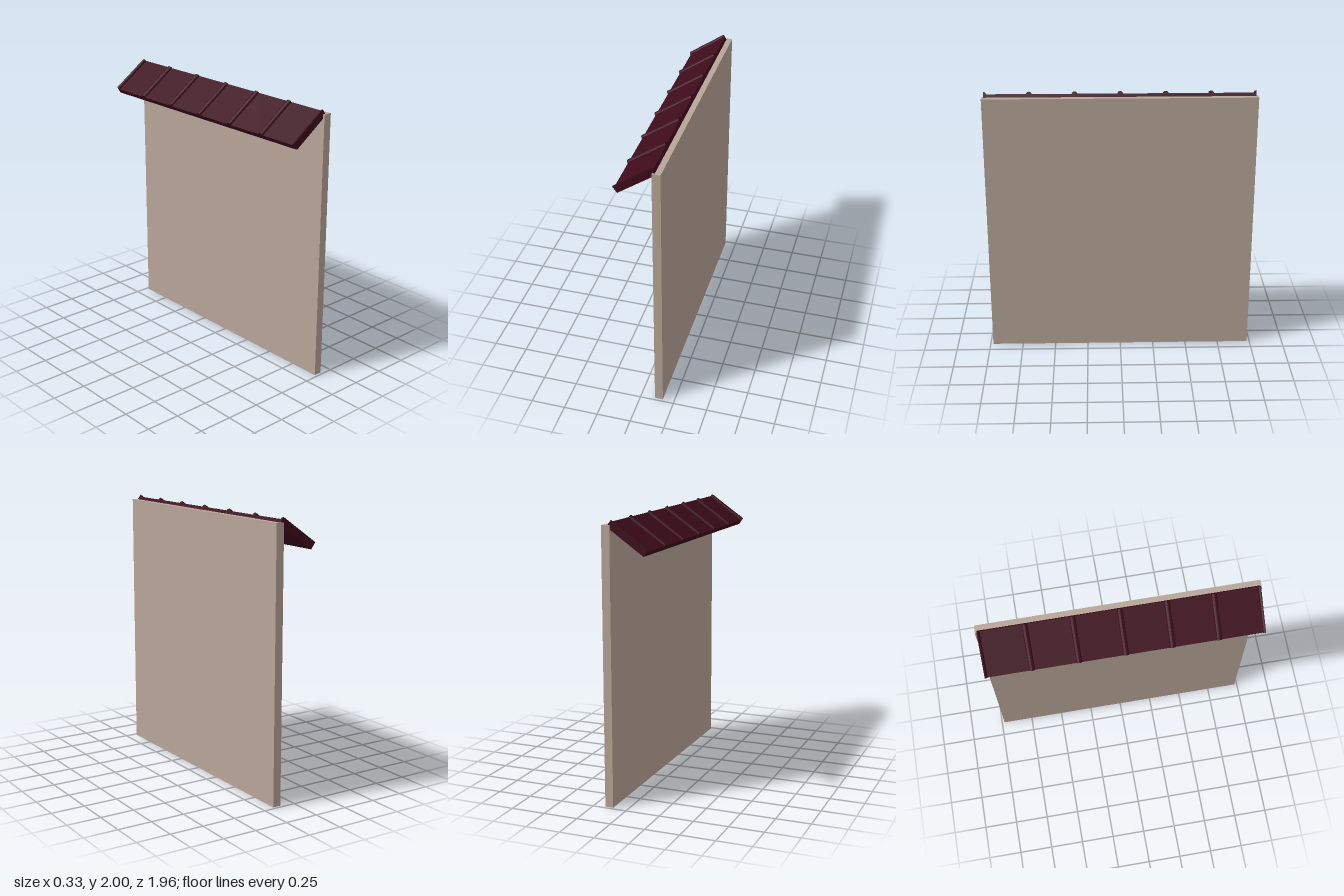
import * as THREE from 'three';

const HALF = 0.967;        // half the canopy width along z
const THICK = 0.0395;      // sheet thickness
const RIB_W = 0.02;        // half width of a rib
const RIB_H = 0.0175;      // rib height
const SLOPE = THREE.MathUtils.degToRad(34.8);
const LENGTH = 0.323;      // along the slope

// Sheet cross-section with evenly spaced rounded ribs; the outer two are halved
function canopyShape() {
  const shape = new THREE.Shape();
  const ribs = 7, steps = 8;
  shape.moveTo(-HALF, 0);
  shape.lineTo(HALF, 0);
  for (let i = ribs - 1; i >= 0; i--) {
    const c = -HALF + (2 * HALF * i) / (ribs - 1);
    const first = i === ribs - 1 ? steps / 2 : 0;
    const last = i === 0 ? steps / 2 : steps;
    for (let k = first; k <= last; k++) {
      const a = (Math.PI * k) / steps;
      shape.lineTo(c + RIB_W * Math.cos(a), THICK + RIB_H * Math.sin(a));
    }
  }
  shape.closePath();
  return shape;
}

export function createModel() {
  const model = new THREE.Group();

  // Upright wall panel
  const wall = new THREE.Mesh(
    new THREE.BoxGeometry(0.06, 1.965, 1.96),
    new THREE.MeshStandardMaterial({ color: 0xb8a598 })
  );
  wall.name = 'wall';
  wall.position.set(0.135, 1.965 / 2, 0);
  model.add(wall);

  // Sloping ribbed canopy, extruded up the slope towards the wall top
  const geometry = new THREE.ExtrudeGeometry(canopyShape(), { depth: LENGTH, bevelEnabled: false });
  const c = Math.cos(SLOPE), s = Math.sin(SLOPE);
  const frame = new THREE.Matrix4().makeBasis(
    new THREE.Vector3(0, 0, -1),
    new THREE.Vector3(-s, c, 0),
    new THREE.Vector3(c, s, 0)
  );
  frame.setPosition(-0.133, 1.769, 0);
  geometry.applyMatrix4(frame);
  const canopy = new THREE.Mesh(
    geometry,
    new THREE.MeshStandardMaterial({ color: 0x3d0c1b, flatShading: true })
  );
  canopy.name = 'ribbedCanopy';
  model.add(canopy);

  return model;
}
